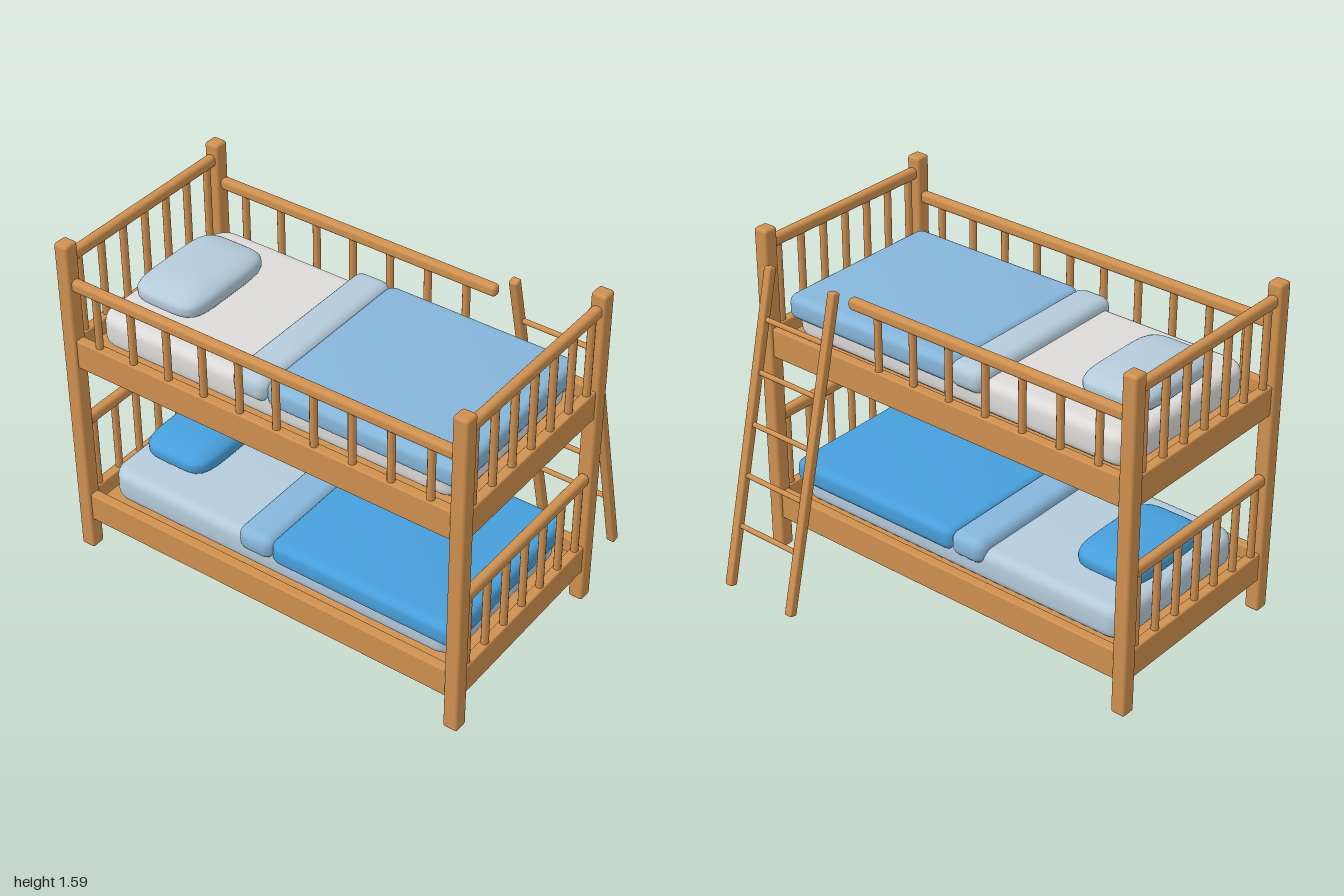
import * as THREE from 'three';
import { RoundedBoxGeometry } from 'three/addons/geometries/RoundedBoxGeometry.js';
import { mergeVertices, toCreasedNormals } from 'three/addons/utils/BufferGeometryUtils.js';

function material(name, color) {
  const m = new THREE.MeshStandardMaterial({ color });
  m.name = name;
  return m;
}

// Flat cushion: rounded-rectangle plan with a rounded top and bottom edge
function slabGeometry(w, h, d, corner, bevel) {
  const x = w / 2 - bevel, y = d / 2 - bevel, r = corner - bevel;
  const s = new THREE.Shape();
  s.absarc(x - r, y - r, r, 0, Math.PI / 2);
  s.absarc(r - x, y - r, r, Math.PI / 2, Math.PI);
  s.absarc(r - x, r - y, r, Math.PI, Math.PI * 1.5);
  s.absarc(x - r, r - y, r, Math.PI * 1.5, Math.PI * 2);
  const g = new THREE.ExtrudeGeometry(s, {
    depth: h - 2 * bevel, bevelEnabled: true, bevelSize: bevel,
    bevelThickness: bevel, bevelSegments: 5, curveSegments: 6,
  });
  g.translate(0, 0, bevel - h / 2);
  g.rotateX(-Math.PI / 2);
  return toCreasedNormals(g, 0.7);
}

// Pillow: sphere swollen towards a soft box, flatter underneath
function pillowGeometry(w, h, d) {
  const source = new THREE.SphereGeometry(1, 48, 24);
  source.deleteAttribute('uv');
  source.deleteAttribute('normal');
  const g = mergeVertices(source, 1e-4);
  const p = g.attributes.position;
  const n = 5;
  for (let i = 0; i < p.count; i++) {
    const x = p.getX(i), y = p.getY(i), z = p.getZ(i);
    const m = y < 0 ? 4 : 2.5;
    const r = Math.hypot(x, z);
    const plan = r < 1e-4 ? 1 : r / Math.pow(Math.abs(x) ** n + Math.abs(z) ** n, 1 / n);
    const k = Math.pow(r ** m + Math.abs(y) ** m, -1 / m);
    p.setXYZ(i, x * plan * k * w / 2, y * k * h / 2, z * plan * k * d / 2);
  }
  g.computeVertexNormals();
  return g;
}

export function createModel() {
  const model = new THREE.Group();
  model.name = 'bunkBed';

  const wood = material('wood', 0xcf904f);
  const blue = material('blue', 0x479fdb);
  const softBlue = material('softBlue', 0x86b6da);
  const paleBlue = material('paleBlue', 0xb4cbda);
  const lightGrey = material('lightGrey', 0xdcdbd9);

  const CX = -0.19;             // centre line of the bed
  const HX = 0.483, HZ = 0.965; // post offsets

  function add(parent, name, geometry, mat, x, y, z) {
    const mesh = new THREE.Mesh(geometry, mat);
    mesh.name = name;
    mesh.position.set(x, y, z);
    parent.add(mesh);
    return mesh;
  }
  function beam(parent, name, w, h, d, x, y, z, r = 0.012) {
    return add(parent, name, new RoundedBoxGeometry(w, h, d, 3, r), wood, x, y, z);
  }
  function spindle(parent, x, y0, y1, z) {
    add(parent, 'spindle', new THREE.CylinderGeometry(0.017, 0.017, y1 - y0, 12), wood, x, (y0 + y1) / 2, z);
  }

  // Corner posts
  for (const sx of [-1, 1]) for (const sz of [-1, 1]) {
    beam(model, 'post', 0.07, 1.59, 0.07, CX + sx * HX, 0.795, sz * HZ, 0.014);
  }

  // One bunk: frame, end railings and bedding, lifted by y
  function bunk(name, y, colours) {
    const g = new THREE.Group();
    g.name = name;
    g.position.y = y;
    model.add(g);

    // Slim platform set inside the boards with a narrow gap all round
    add(g, 'platform', new THREE.BoxGeometry(0.88, 0.035, 1.84), wood, CX, 0.2325, 0);
    for (const s of [-1, 1]) {
      beam(g, 'sideBoard', 0.046, 0.14, 1.88, CX + s * HX, 0.23, 0, 0.008);
      beam(g, 'endBoard', 0.92, 0.14, 0.046, CX, 0.23, s * HZ, 0.008);
      beam(g, 'endRail', 0.92, 0.054, 0.046, CX, y ? 0.687 : 0.665, s * HZ, 0.018);
      for (let i = -3; i <= 3; i++) {
        spindle(g, CX + i * 0.138, 0.29, y ? 0.675 : 0.65, s * HZ);
      }
    }

    add(g, 'mattress', slabGeometry(0.83, 0.155, 1.79, 0.09, 0.045), colours.mattress, CX, 0.3275, 0);
    add(g, 'blanket', slabGeometry(0.87, 0.11, 0.925, 0.05, 0.035), colours.blanket, CX, 0.388, 0.4525);
    add(g, 'blanketFold', slabGeometry(0.885, 0.116, 0.18, 0.05, 0.045), colours.fold, CX, 0.391, -0.087);
    add(g, 'pillow', pillowGeometry(0.52, 0.12, 0.345), colours.pillow, CX, 0.456, -0.677);
  }
  bunk('lowerBunk', 0, { mattress: paleBlue, blanket: blue, fold: softBlue, pillow: blue });
  bunk('upperBunk', 0.825, { mattress: lightGrey, blanket: softBlue, fold: paleBlue, pillow: paleBlue });

  // Guard rails of the upper bunk; the left one leaves a gap for the ladder
  const guard = new THREE.Group();
  guard.name = 'guardRails';
  model.add(guard);
  beam(guard, 'rightGuardRail', 0.046, 0.054, 1.88, CX - HX, 1.395, 0, 0.018);
  for (let i = 0; i < 10; i++) spindle(guard, CX - HX, 1.115, 1.38, -0.823 + i * 0.183);
  beam(guard, 'leftGuardRail', 0.046, 0.054, 1.42, CX + HX, 1.395, -0.225, 0.018);
  for (let i = 0; i < 7; i++) spindle(guard, CX + HX, 1.115, 1.38, -0.81 + i * 0.191);

  // Leaning ladder
  const ladder = new THREE.Group();
  ladder.name = 'ladder';
  model.add(ladder);
  const top = new THREE.Vector2(0.339, 1.443), foot = new THREE.Vector2(0.686, 0.006);
  const mid = top.clone().add(foot).multiplyScalar(0.5);
  for (const z of [0.9, 0.535]) {
    const rail = beam(ladder, 'ladderRail', 0.04, top.distanceTo(foot), 0.04, mid.x, mid.y, z, 0.008);
    rail.rotation.z = Math.atan2(foot.x - top.x, top.y - foot.y);
  }
  for (let i = 0; i < 5; i++) {
    const y = 0.29 + i * 0.232;
    const x = foot.x + (top.x - foot.x) * (y - foot.y) / (top.y - foot.y);
    const rung = add(ladder, 'rung', new THREE.CylinderGeometry(0.012, 0.012, 0.36, 12), wood, x, y, 0.7175);
    rung.rotation.x = Math.PI / 2;
  }

  return model;
}
